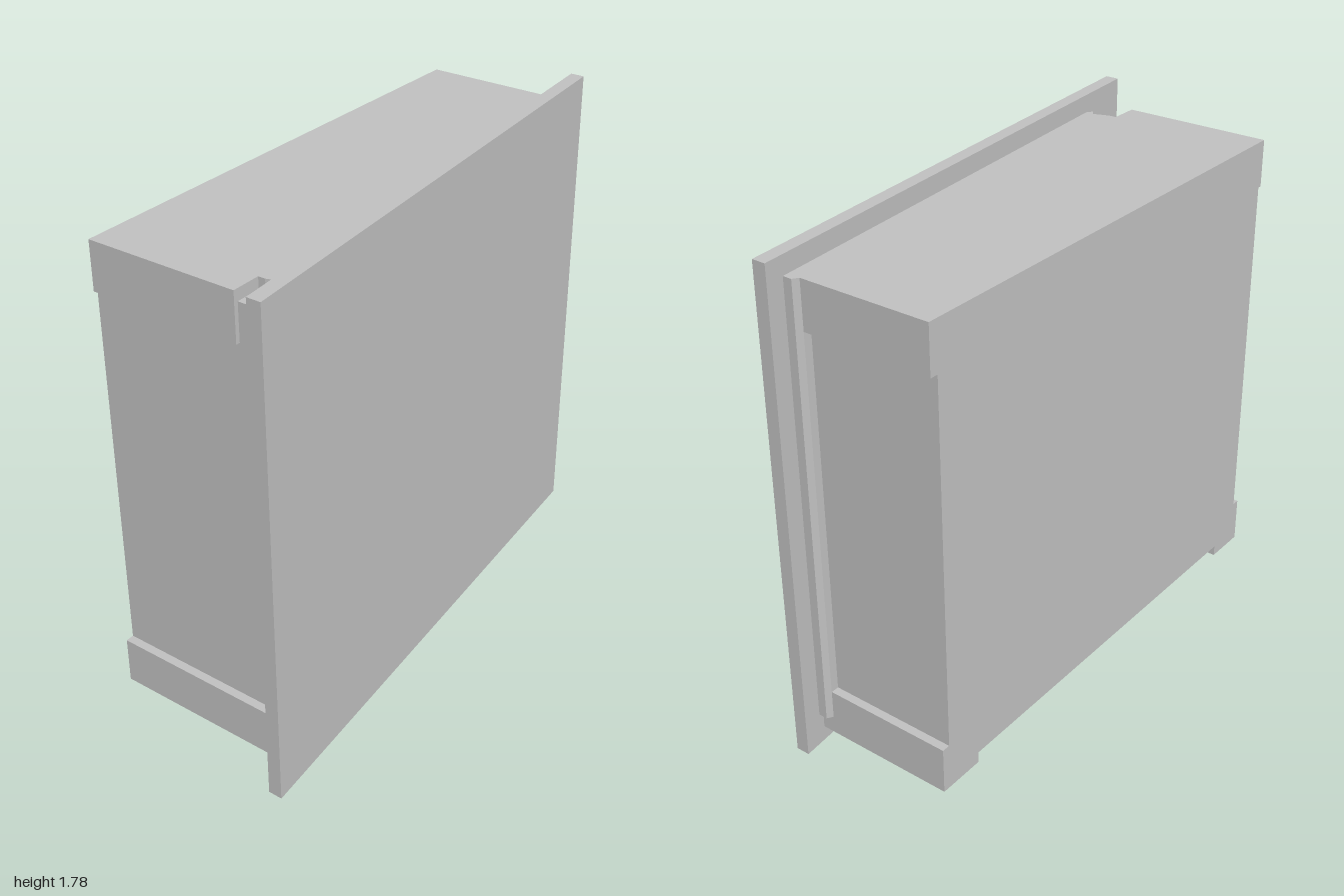
import * as THREE from 'three';

// Rear plane of the slanted front panel
const panelBack = (x) => 0.23 - 0.085 * x;

// Vertical prism from plan points [x, z], with optional plan holes
function prism(points, y0, y1, holes = []) {
  const toVec = ([x, z]) => new THREE.Vector2(x, -z);
  const shape = new THREE.Shape(points.map(toVec));
  for (const hole of holes) shape.holes.push(new THREE.Path(hole.map(toVec)));
  const geometry = new THREE.ExtrudeGeometry(shape, { depth: y1 - y0, bevelEnabled: false });
  geometry.rotateX(-Math.PI / 2);
  geometry.translate(0, y0, 0);
  return geometry;
}

// Plan running from the flat back to the slanted panel
const plan = (x0, x1, back = -0.37) => [
  [x0, back], [x0, panelBack(x0)], [x1, panelBack(x1)], [x1, back],
];

export function createModel() {
  const group = new THREE.Group();
  const grey = new THREE.MeshStandardMaterial({ color: 0xc0c0c0 });
  grey.name = 'light grey';
  const add = (name, geometry) => {
    const mesh = new THREE.Mesh(geometry, grey);
    mesh.name = name;
    group.add(mesh);
  };

  // Slanted front panel
  add('frontPanel', prism([[-1, 0.315], [-1, 0.365], [1, 0.195], [1, 0.145]], 0, 1.78));

  // Feet along both sides
  add('leftFoot', prism(plan(0.735, 0.91), 0.055, 0.095));
  add('rightFoot', prism(plan(-0.91, -0.75), 0.055, 0.095));

  // Hollow housing: floor with opening, lower corners, recessed sides
  const opening = [[-0.14, -0.355], [-0.14, -0.075], [0.25, -0.075], [0.25, -0.355]];
  const chamber = [[-0.84, -0.355], [-0.84, 0.12], [0.84, 0.12], [0.84, -0.355]];
  add('floor', prism(plan(-0.91, 0.91), 0.095, 0.135, [opening]));
  add('lowerHousing', prism(plan(-0.91, 0.91), 0.135, 0.225, [chamber]));
  add('middleHousing', prism(plan(-0.88, 0.88), 0.225, 1.545, [chamber]));

  // Upper housing, cut back at the right front corner
  add('upperHousing', prism([
    [-0.895, -0.37], [-0.895, 0.18], [-0.88, 0.18], [-0.88, panelBack(-0.88)],
    [0.91, panelBack(0.91)], [0.91, -0.37],
  ], 1.545, 1.675));

  // Top layer with the latch notch
  add('topPlate', prism([
    [-0.895, -0.37], [-0.895, 0.18], [-0.79, 0.18], [-0.79, 0.205], [-0.77, 0.265],
    [-0.79, 0.28], [-0.775, panelBack(-0.775)], [0.91, panelBack(0.91)], [0.91, -0.37],
  ], 1.675, 1.715));

  // Hinge lip behind the panel
  add('hingeLip', prism([
    [0.87, 0.105], [0.87, panelBack(0.87)], [0.93, panelBack(0.93)], [0.93, 0.118], [0.91, 0.105],
  ], 0.12, 1.715));

  // Round core seen through the floor opening
  const core = new THREE.CylinderGeometry(0.2, 0.2, 1.41, 32);
  core.translate(0.05, 0.84, -0.09);
  add('innerCore', core);

  return group;
}
